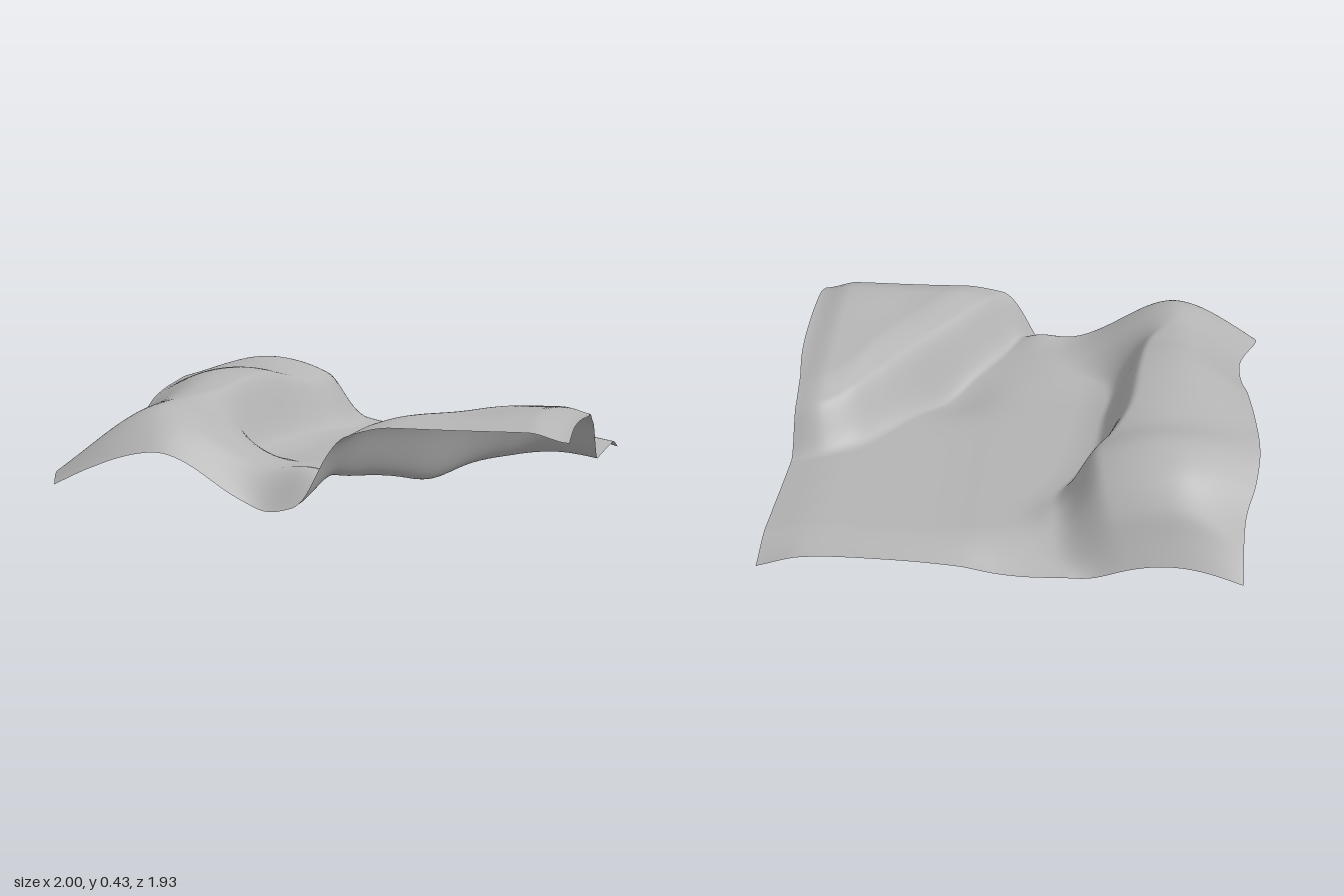
import * as THREE from 'three';

const { smoothstep, lerp, clamp } = THREE.MathUtils;

// Smooth curve through [position, value] pairs (cubic Hermite).
function curve(...p) {
  const slope = (i) => {
    const a = p[Math.max(i - 1, 0)], b = p[Math.min(i + 1, p.length - 1)];
    return (b[1] - a[1]) / (b[0] - a[0]);
  };
  return (t) => {
    t = clamp(t, p[0][0], p[p.length - 1][0]);
    let i = 0;
    while (i < p.length - 2 && t > p[i + 1][0]) i++;
    const [x0, y0] = p[i], [x1, y1] = p[i + 1];
    const d = x1 - x0, s = (t - x0) / d, s2 = s * s, s3 = s2 * s;
    return (2 * s3 - 3 * s2 + 1) * y0 + (s3 - 2 * s2 + s) * d * slope(i)
      + (3 * s2 - 2 * s3) * y1 + (s3 - s2) * d * slope(i + 1);
  };
}

// Outline of the sheet
const leftX = curve([-0.97, -0.885], [-0.82, -0.887], [-0.7, -0.925], [-0.55, -0.945], [-0.3, -0.94], [0, -0.92],
  [0.25, -0.905], [0.5, -0.91], [0.65, -0.94], [0.8, -0.99], [0.87, -1], [0.96, -0.97]);
const rightX = curve([-0.97, 0.975], [-0.3, 0.963], [0, 0.965], [0.2, 0.99], [0.4, 1], [0.96, 1]);
const frontZ = curve([-1, 0.965], [-0.8, 0.96], [-0.6, 0.945], [-0.3, 0.908], [-0.18, 0.895], [0, 0.915],
  [0.15, 0.915], [0.3, 0.895], [1, 0.895]);

// Left mound: crest height, outer edge height, and the steep bank on its inner side
const crestY = curve([-0.97, 0.085], [-0.92, 0.19], [-0.88, 0.275], [-0.8, 0.365], [-0.7, 0.415], [-0.6, 0.433],
  [-0.42, 0.405], [-0.2, 0.427], [0, 0.437], [0.15, 0.427], [0.3, 0.403], [0.5, 0.382], [0.7, 0.375], [0.8, 0.345],
  [0.88, 0.285], [0.96, 0.205]);
const edgeY = curve([-0.97, 0.015], [-0.9, 0.1], [-0.8, 0.22], [-0.7, 0.29], [-0.55, 0.345], [-0.3, 0.34],
  [0, 0.31], [0.2, 0.25], [0.4, 0.2], [0.6, 0.16], [0.8, 0.13], [0.87, 0.12], [0.96, 0.085]);
const bankX = curve([-0.97, -0.33], [-0.85, -0.265], [-0.7, -0.24], [-0.55, -0.235], [-0.4, -0.31], [-0.25, -0.365],
  [0, -0.39], [0.35, -0.42], [0.5, -0.36], [0.65, -0.31], [0.96, -0.33]);
const bankWidth = curve([-0.97, 0.12], [-0.7, 0.09], [0, 0.085], [0.33, 0.1], [0.5, 0.24], [0.65, 0.34], [0.96, 0.26]);

// Right plateau: height along z and the line of its diagonal bank
const plateauY = curve([-0.3, 0.3], [-0.1, 0.305], [0, 0.325], [0.4, 0.37], [0.75, 0.38], [0.9, 0.34]);
const diagonalZ = curve([-0.24, 1.15], [0.03, 0.97], [0.11, 0.87], [0.22, 0.68], [0.37, 0.44], [0.52, 0.2],
  [0.62, 0.04], [0.72, -0.1], [0.82, -0.175], [0.9, -0.195], [1, -0.19]);

// Low ground between the two, its back edge, and how far it dips at the front edge
const floorY = curve([-0.4, 0.125], [-0.1, 0.117], [0.1, 0.11], [0.3, 0.1], [0.6, 0.097], [0.8, 0.095], [1, 0.065]);
const backY = curve([-0.885, 0.015], [-0.65, 0.09], [-0.45, 0.055], [-0.3, 0.025], [-0.1, 0.01], [0.05, 0.02],
  [0.2, 0.05], [0.5, 0.07], [0.8, 0.065], [0.975, 0.015]);
const dipY = curve([-0.6, 0.1], [-0.3, 0.155], [-0.18, 0.172], [-0.1, 0.155], [0, 0.11], [0.1, 0.05], [0.2, 0]);

function bump(x, z, cx, cz, r) {
  return Math.exp(-((x - cx) ** 2 + (z - cz) ** 2) / (r * r));
}

function height(x, z) {
  let ground = lerp(backY(x), floorY(x), smoothstep(z, -1, -0.78));
  ground += 0.035 * smoothstep(z, 0.2, 0.7) * (1 - smoothstep(x, -0.1, 0.25));
  ground -= dipY(x) * smoothstep(z, 0.76, 0.93);
  ground += 0.02 * bump(x, z, 0, 0.79, 0.1) - 0.045 * bump(x, z, 0.36, 0.3, 0.18) + 0.025 * bump(x, z, -0.17, -0.7, 0.1);

  // The mound's bank eases into the floor with a soft foot
  const out = leftX(z);
  const t = clamp((x - out) / (-0.6 - out), 0, 1);
  const mound = lerp(edgeY(z), crestY(z), Math.sin(t * Math.PI / 2)) - (x > -0.6 ? 0.9 * (x + 0.6) ** 2 : 0);
  const bx = bankX(z), bw = bankWidth(z);
  const fall = 0.8 * smoothstep(x, bx - bw, bx + bw) + 0.2 * smoothstep(x, bx - bw, bx + Math.max(bw, 0.22));
  const low = lerp(mound, ground, fall);

  // The diagonal bank is steep at its foot and rounds off into the plateau
  const slope = (diagonalZ(x + 0.03) - diagonalZ(x - 0.03)) / 0.06;
  const distance = (z - diagonalZ(x)) / Math.hypot(1, slope);
  const rise = 0.7 * smoothstep(distance, -0.085, 0.075) + 0.3 * smoothstep(distance, -0.085, 0.22);
  const plateau = plateauY(z) - 0.032 * smoothstep(x, 0.85, 1)
    - 0.015 * bump(x, z, 0.57, 0.6, 0.2) + 0.008 * bump(x, z, 0.82, 0.6, 0.2);
  return lerp(low, plateau, rise);
}

export function createModel() {
  const model = new THREE.Group();
  const grey = new THREE.MeshStandardMaterial({ color: 0xb4b4b4, side: THREE.DoubleSide });
  grey.name = 'stone grey';

  // Terrain sheet: a flat grid fitted to the outline and raised by the height rule
  const geometry = new THREE.PlaneGeometry(2, 2, 150, 150).rotateX(-Math.PI / 2);
  const pos = geometry.attributes.position;
  for (let i = 0; i < pos.count; i++) {
    const u = (pos.getX(i) + 1) / 2, v = (pos.getZ(i) + 1) / 2;
    const z = lerp(-0.97, frontZ(lerp(-0.97, 1, u)), v);
    const x = lerp(leftX(z), rightX(z), u);
    pos.setXYZ(i, x, Math.max(0, height(x, z)), z);
  }
  geometry.computeVertexNormals();

  const terrain = new THREE.Mesh(geometry, grey);
  terrain.name = 'terrain';
  model.add(terrain);
  return model;
}
